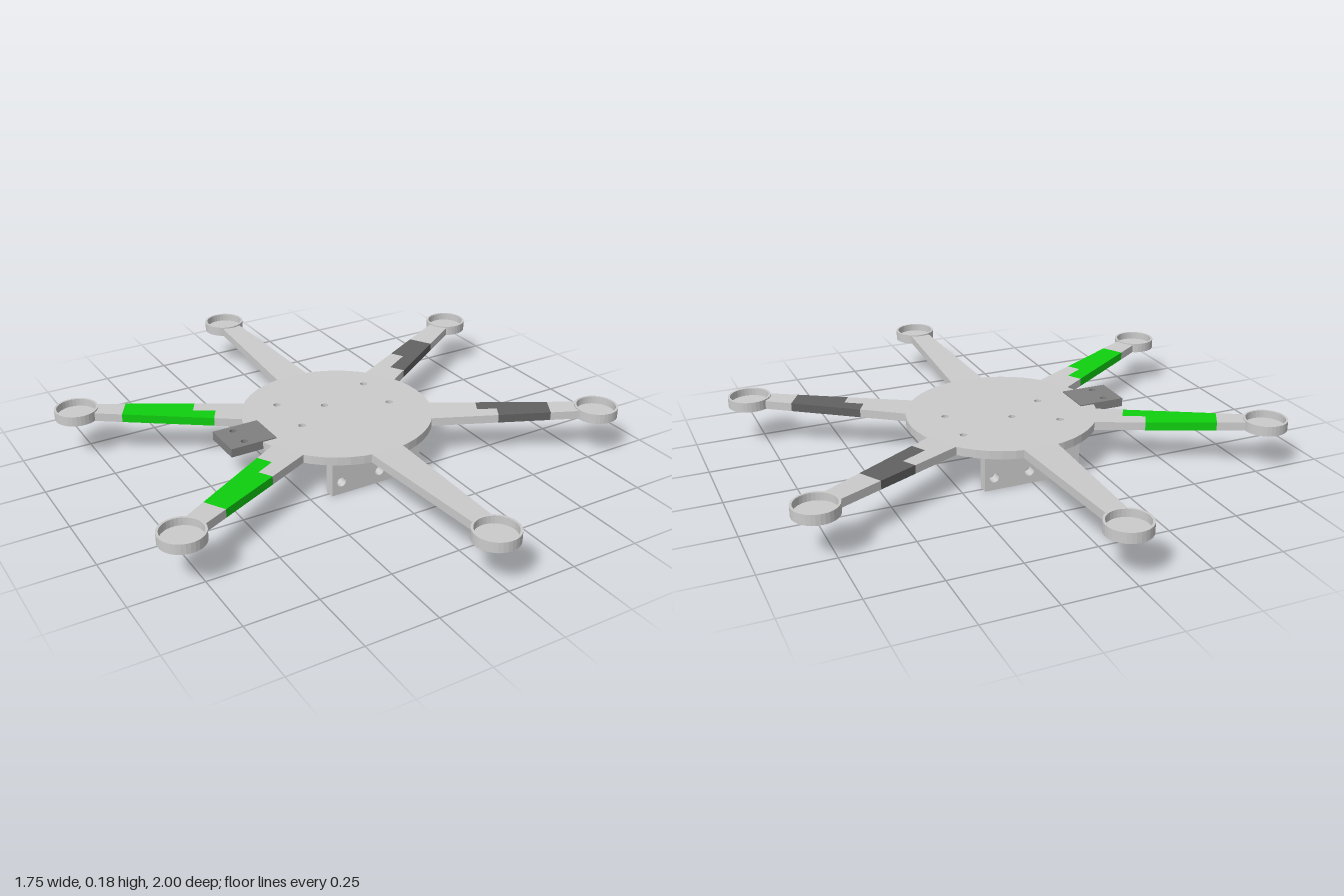
import * as THREE from 'three';

const DISC_Y = 0.13, THICK = 0.03, DISC_R = 0.34, ARM_IN = 0.33, ARM_OUT = 0.852, HUB = 0.923;

const material = (color) => new THREE.MeshStandardMaterial({ color, flatShading: true });
const grey = material(0xcccccc);
const green = material(0x0fd00f);
const dark = material(0x626262);
const bracketDark = material(0x808080);

const circlePath = (x, y, r) => new THREE.Path().absarc(x, y, r, 0, Math.PI * 2, true);

function add(parent, name, geometry, mat) {
  const mesh = new THREE.Mesh(geometry, mat);
  mesh.name = name;
  parent.add(mesh);
  return mesh;
}

function extrude(shape, depth) {
  return new THREE.ExtrudeGeometry(shape, { depth, bevelEnabled: false, curveSegments: 24 });
}

// Flat slab: shape (x, y) becomes (x, -z), thickness goes up from y
function slab(shape, y, depth) {
  return extrude(shape, depth).rotateX(-Math.PI / 2).translate(0, y, 0);
}

// Rectangle centred on the origin with round holes
function plateShape(w, h, holes, r) {
  const s = new THREE.Shape([[-w / 2, -h / 2], [w / 2, -h / 2], [w / 2, h / 2], [-w / 2, h / 2]]
    .map(([x, y]) => new THREE.Vector2(x, y)));
  holes.forEach(([x, y]) => s.holes.push(circlePath(x, y, r)));
  return s;
}

// Arms taper outward and rise gently toward the motor cup
const halfWidth = (r) => 0.062 - (r - ARM_IN) * 0.047;
function lift(geometry) {
  const p = geometry.attributes.position;
  for (let i = 0; i < p.count; i++) {
    p.setY(i, p.getY(i) + Math.max(0, p.getX(i) - ARM_IN) * 0.026);
  }
  geometry.computeVertexNormals();
  return geometry;
}

// A cut across the arm, stepped at the middle when the two sides differ
function cut([plus, minus]) {
  const pts = [[plus, halfWidth(plus)]];
  if (plus !== minus) pts.push([plus, 0], [minus, 0]);
  pts.push([minus, -halfWidth(minus)]);
  return pts.map(([x, y]) => new THREE.Vector2(x, y));
}
const sectionShape = (from, to) => new THREE.Shape([...cut(from), ...cut(to).reverse()]);

function createArm(angle, band) {
  const arm = new THREE.Group();
  arm.name = 'arm';
  const start = [ARM_IN, ARM_IN], end = [ARM_OUT, ARM_OUT];
  const section = (name, from, to, mat) =>
    add(arm, name, lift(slab(sectionShape(from, to), DISC_Y, THICK)), mat);

  // Coloured band between two grey sections
  const tipStart = band ? [band.outer, band.outer] : [0.7, 0.7];
  section('armRoot', start, band ? band.inner : tipStart, grey);
  if (band) section('armBand', band.inner, tipStart, band.mat);

  // Arm tip with a wire slot in its underside
  const under = sectionShape(tipStart, end);
  const slot = [[0.775, -0.014], [0.775, 0.014], [0.83, 0.014], [0.83, -0.014]];
  under.holes.push(new THREE.Path(slot.map(([x, y]) => new THREE.Vector2(x, y))));
  add(arm, 'armTipUnderside', lift(slab(under, DISC_Y, 0.015)), grey);
  add(arm, 'armTip', lift(slab(sectionShape(tipStart, end), DISC_Y + 0.015, 0.015)), grey);

  // Open motor cup: floor and thin wall turned as one profile
  const profile = [[0, 0.142], [0.077, 0.142], [0.077, 0.178], [0.069, 0.178], [0.069, 0.151], [0, 0.151]]
    .map(([x, y]) => new THREE.Vector2(x, y));
  add(arm, 'motorCup', new THREE.LatheGeometry(profile, 32).translate(HUB, 0, 0), grey);

  arm.rotation.y = THREE.MathUtils.degToRad(angle);
  return arm;
}

export function createModel() {
  const model = new THREE.Group();
  model.name = 'hexacopterFrame';

  // Centre disc with screw holes
  const disc = new THREE.Shape().absarc(0, 0, DISC_R, 0, Math.PI * 2, false);
  [[-0.16, 0.15], [0.2, 0.14], [-0.015, 0.06], [-0.16, -0.035], [0.2, -0.035]]
    .forEach(([x, y]) => disc.holes.push(circlePath(x, y, 0.013)));
  add(model, 'centreDisc', slab(disc, DISC_Y, THICK), grey);

  // Six arms, two plain and four with coloured bands
  model.add(
    createArm(90), createArm(-90),
    createArm(-30, { inner: [0.5, 0.57], outer: 0.755, mat: dark }),
    createArm(30, { inner: [0.53, 0.42], outer: 0.685, mat: dark }),
    createArm(150, { inner: [0.43, 0.51], outer: 0.755, mat: green }),
    createArm(210, { inner: [0.51, 0.43], outer: 0.755, mat: green }),
  );

  // Side bracket with two holes
  const bracket = plateShape(0.17, 0.146, [[-0.022, 0.043], [-0.022, -0.043]], 0.012);
  add(model, 'sideBracket', slab(bracket, 0.133, 0.031).translate(-0.365, 0, 0), bracketDark);

  // Hanging plates under the disc
  for (const side of [-1, 1]) {
    const plate = plateShape(0.352, DISC_Y, [[-0.14, -0.02], [0.012, -0.02], [0.142, -0.02]], 0.017);
    add(model, 'hangingPlate', extrude(plate, 0.038).translate(0, DISC_Y / 2, side * 0.251 - 0.019), grey);
  }
  return model;
}
